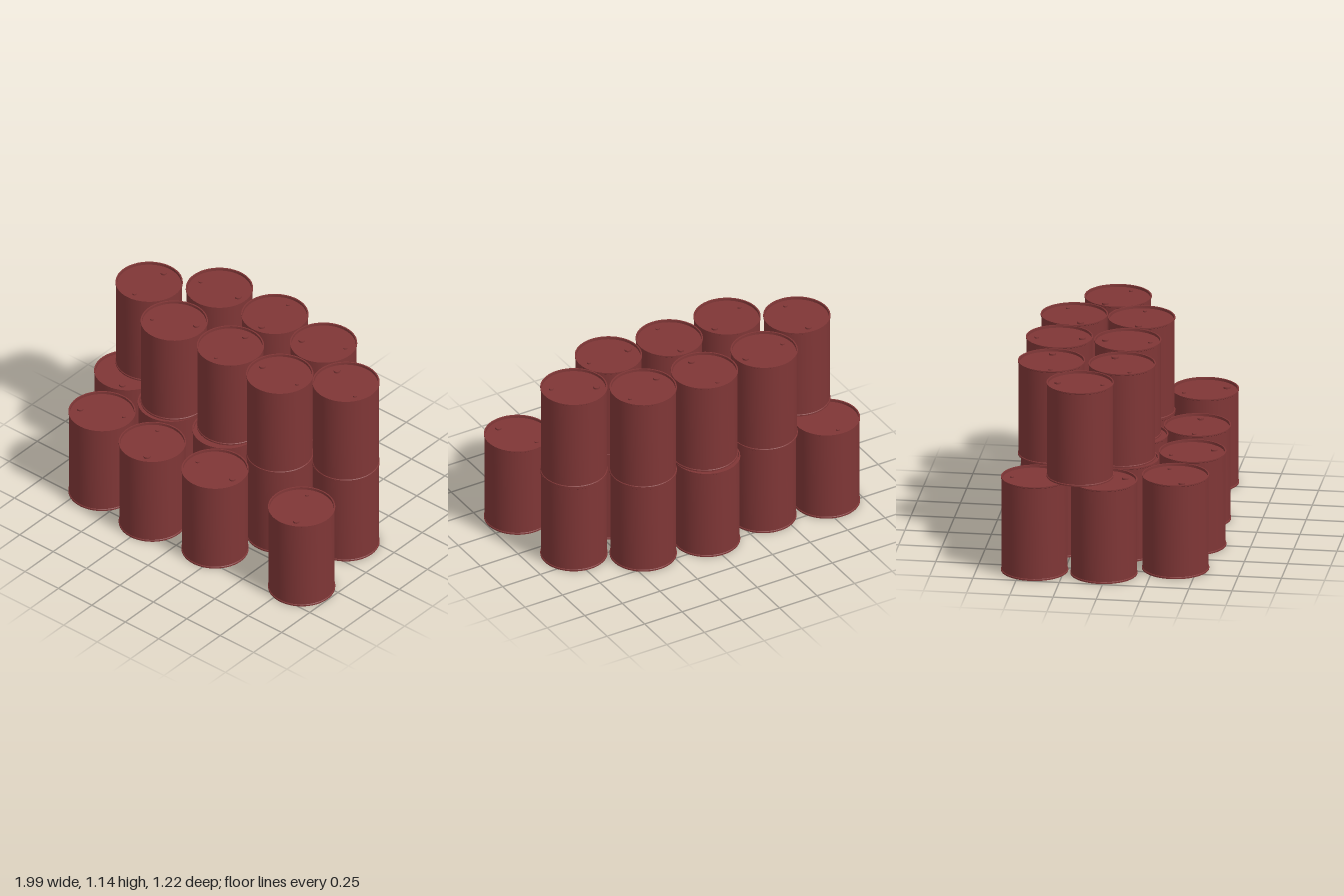
import * as THREE from 'three';
import { toCreasedNormals } from 'three/addons/utils/BufferGeometryUtils.js';

const HEIGHT = 0.57, RIM = 0.193, BODY = 0.189, LID = 0.555;

// x, z of the drum, then the direction (x, z) in which its large bung lies
const LOWER = [
  [-0.805, -0.42, 0, 1], [-0.8, -0.02, 0.45, 0.9],
  [-0.415, -0.365, 1, 0.2], [-0.415, 0.05, -0.5, 0.8],
  [-0.01, -0.415, 0.3, -1], [-0.01, 0.045, -1, 0.3],
  [0.38, -0.36, 0.6, 0.7], [0.38, 0.03, 0, 1], [0.72, -0.155, 1, 0],
  [-0.66, 0.375, -0.9, 0.4], [-0.25, 0.415, 0.45, 0.9],
  [0.19, 0.38, 1, 0], [0.803, 0.338, 0.45, 0.9],
];
const UPPER = [
  [-0.76, -0.163, 0, -1], [-0.415, -0.378, 1, -0.1], [-0.41, 0.03, 0.9, -0.45],
  [-0.01, -0.39, 0.08, 1], [-0.01, 0.005, 0, -1], [0.38, -0.36, -0.9, 0.4],
  [0.38, 0.03, -1, 0], [0.72, -0.155, -0.9, -0.45],
];

export function createModel() {
  const paint = new THREE.MeshStandardMaterial({ color: 0x7f3636 });
  paint.name = 'dark red paint';

  // Drum shell: flat base, rolled rims and a sunken lid
  const profile = [
    [0, 0], [RIM, 0], [RIM, 0.008], [BODY, 0.011],
    [BODY, HEIGHT - 0.011], [RIM, HEIGHT - 0.008], [RIM, HEIGHT],
    [RIM - 0.008, HEIGHT], [RIM - 0.009, LID], [0, LID],
  ].map(([r, y]) => new THREE.Vector2(r, y));
  const shellGeometry = toCreasedNormals(new THREE.LatheGeometry(profile, 48), 0.5);
  const largeBungGeometry = new THREE.CylinderGeometry(0.019, 0.019, 0.012, 16);
  const smallBungGeometry = new THREE.CylinderGeometry(0.012, 0.012, 0.01, 12);

  const makeDrum = ([x, z, dx, dz], y, name) => {
    const drum = new THREE.Group();
    drum.name = name;
    const add = (geometry, partName, px, py) => {
      const mesh = new THREE.Mesh(geometry, paint);
      mesh.name = partName;
      mesh.position.set(px, py, 0);
      drum.add(mesh);
    };
    add(shellGeometry, 'drumShell', 0, 0);
    add(largeBungGeometry, 'largeBung', 0.13, LID + 0.004);
    add(smallBungGeometry, 'smallBung', -0.13, LID + 0.003);
    drum.position.set(x, y, z);
    drum.rotation.y = Math.atan2(-dz, dx);
    return drum;
  };

  // Two stacked layers
  const model = new THREE.Group();
  model.name = 'drumStack';
  LOWER.forEach((d, i) => model.add(makeDrum(d, 0, `lowerDrum${i + 1}`)));
  UPPER.forEach((d, i) => model.add(makeDrum(d, HEIGHT, `upperDrum${i + 1}`)));
  return model;
}
